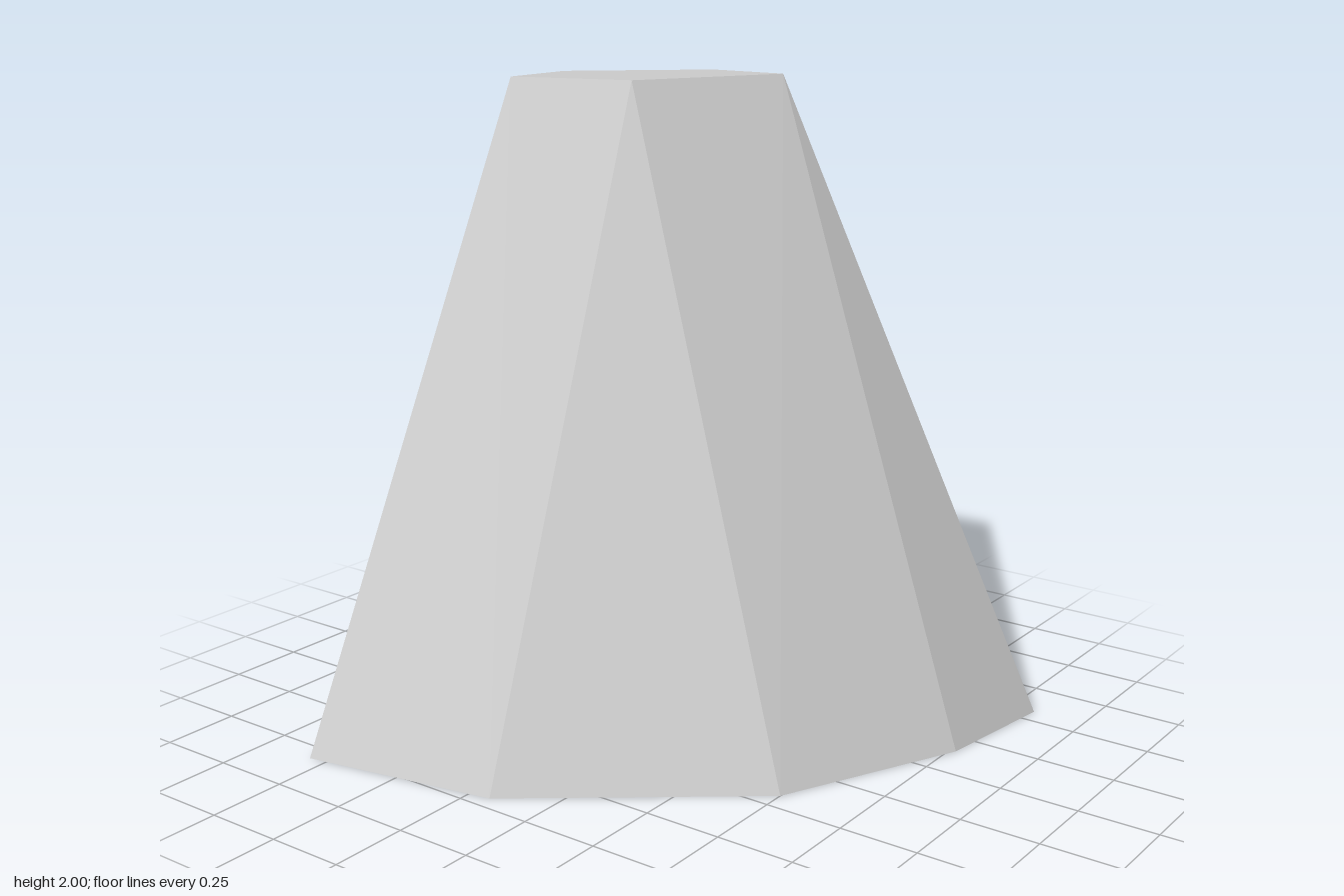
import * as THREE from 'three';

// Rings of corners: top (t), inner notch (m) and base (b)
const corners = {
  t1: [-0.46, 2, -0.82], t2: [-0.18, 2, -0.82], t3: [-0.43, 2, -0.33],
  t4: [-0.83, 2, -0.21], t5: [-0.83, 2, -0.48],
  m1: [-0.39, 1.27, -0.82], m2: [-0.02, 0.62, -0.82], m3: [-0.82, 1.18, -0.39],
  b1: [-0.81, 0, 0.82], b2: [-0.18, 0, 0.7], b3: [0.5, 0, 0.18], b4: [0.77, 0, -0.4],
  b5: [0.83, 0, -0.82], b6: [0.49, 0, -0.82], b7: [-0.81, 0, 0.48],
};

// Builds a mesh from faces, each a fan around its first corner
function facets(name, material, faces) {
  const positions = [];
  for (const face of faces) {
    const ring = face.split(' ').map((key) => corners[key]);
    for (let i = 1; i < ring.length - 1; i++) {
      positions.push(...ring[0], ...ring[i], ...ring[i + 1]);
    }
  }
  const geometry = new THREE.BufferGeometry();
  geometry.setAttribute('position', new THREE.Float32BufferAttribute(positions, 3));
  geometry.computeVertexNormals();
  const mesh = new THREE.Mesh(geometry, material);
  mesh.name = name;
  return mesh;
}

export function createModel() {
  const stone = new THREE.MeshStandardMaterial({ color: 0xcccccc });
  stone.name = 'pale grey stone';

  const model = new THREE.Group();
  model.name = 'cliffBlock';
  model.add(
    facets('topFace', stone, ['t2 t1 t5 t4 t3']),
    facets('outerSlope', stone, [
      't4 b1 b2', 't4 b2 t3', 't3 b2 b3', 't3 b3 t2', 't2 b3 b4', 't2 b4 b5',
    ]),
    facets('backWall', stone, ['b5 b6 m2 m1 t1 t2']),
    facets('sideWall', stone, ['b1 t4 t5 m3 b7']),
    facets('innerNotch', stone, ['m1 m3 t5 t1', 'm1 m2 m3', 'm2 b7 m3', 'm2 b6 b7']),
    facets('baseFace', stone, ['b7 b6 b5 b4 b3 b2 b1']),
  );
  return model;
}
